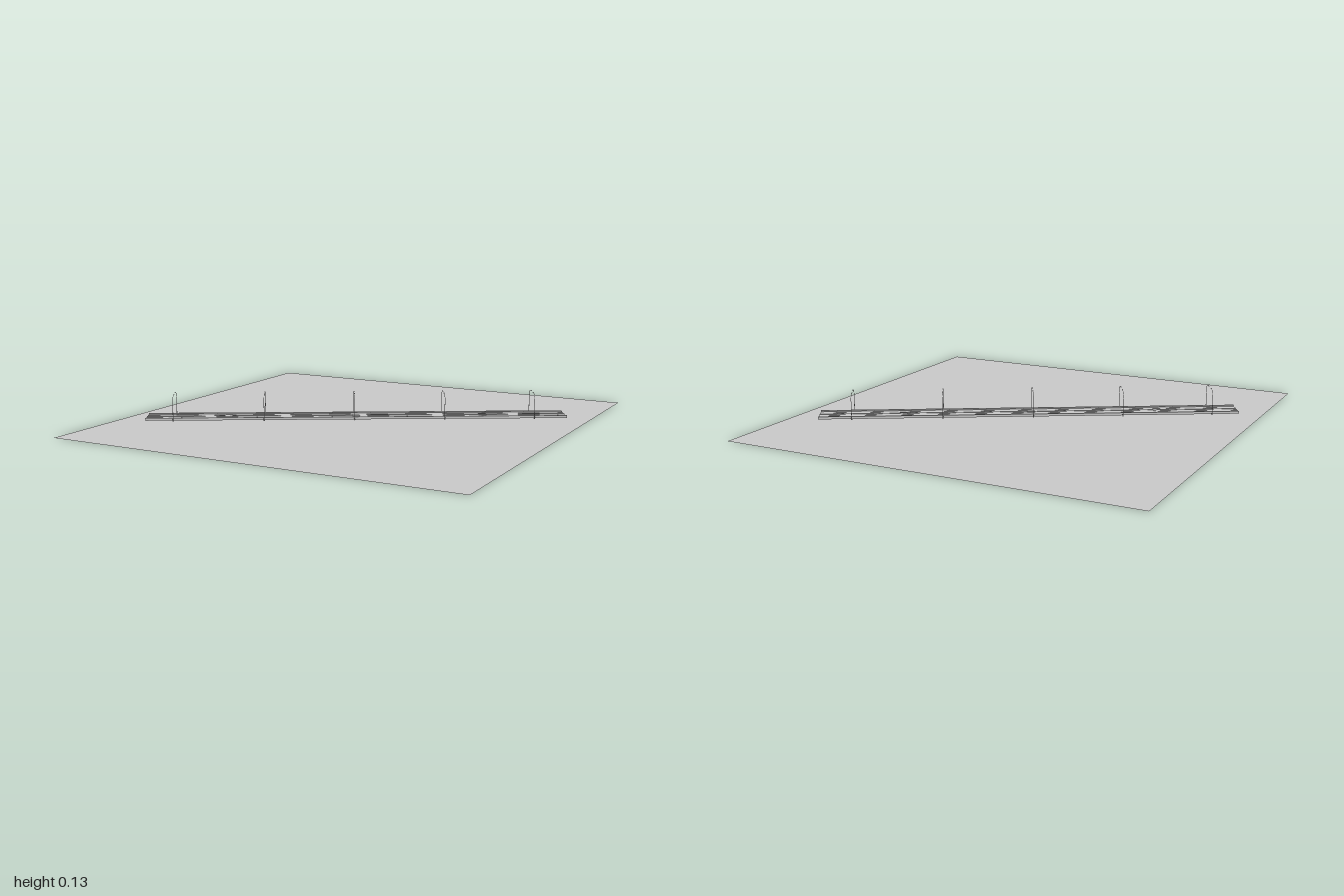
import * as THREE from 'three';

const mat = new THREE.MeshStandardMaterial({ color: 0xcccccc, side: THREE.DoubleSide });

function add(parent, name, geometry, x = 0, y = 0, z = 0) {
  const mesh = new THREE.Mesh(geometry, mat);
  mesh.name = name;
  mesh.position.set(x, y, z);
  parent.add(mesh);
  return mesh;
}
const box = (x, y, z) => new THREE.BoxGeometry(x, y, z);

// Street lamp standing outside the road edge, arm reaching towards -z
function createLamp() {
  const lamp = new THREE.Group();
  lamp.name = 'streetLamp';
  add(lamp, 'lampBase', new THREE.CylinderGeometry(0.002, 0.003, 0.012, 8), 0, 0.016, 0);
  add(lamp, 'lampPole', new THREE.CylinderGeometry(0.0011, 0.0015, 0.106, 8), 0, 0.063, 0);
  const path = new THREE.CatmullRomCurve3([
    new THREE.Vector3(0, 0.114, 0),
    new THREE.Vector3(0, 0.122, -0.012),
    new THREE.Vector3(0, 0.129, -0.03),
    new THREE.Vector3(0, 0.13, -0.046),
  ]);
  add(lamp, 'lampArm', new THREE.TubeGeometry(path, 10, 0.001, 6), 0, 0, 0);
  add(lamp, 'lampHead', box(0.004, 0.002, 0.014), 0, 0.1295, -0.046);
  return lamp;
}

export function createModel() {
  const model = new THREE.Group();
  model.name = 'roadBridge';

  // Flat square ground
  add(model, 'ground', new THREE.PlaneGeometry(2, 2).rotateX(-Math.PI / 2));

  // The road runs diagonally across the ground
  const road = new THREE.Group();
  road.name = 'road';
  road.rotation.y = Math.PI / 6;
  model.add(road);
  const length = 2.01;
  add(road, 'deck', box(length, 0.008, 0.12), 0, 0.015, 0);
  add(road, 'medianStrip', box(length, 0.002, 0.004), 0, 0.02, 0);

  for (const side of [-1, 1]) {
    add(road, 'parapet', box(length, 0.012, 0.004), 0, 0.018, side * 0.06);
    add(road, 'kerb', box(length, 0.003, 0.006), 0, 0.02, side * 0.053);
    for (const z of [0.018, 0.036]) {
      add(road, 'laneStrip', box(length, 0.001, 0.002), 0, 0.0192, side * z);
    }
  }

  // Small raised panels along the centre line
  for (const x of [-0.61, 0, 0.61]) {
    const panel = new THREE.Group();
    panel.name = 'centrePanel';
    panel.position.x = x - 0.005;
    add(panel, 'panelPlate', box(0.036, 0.002, 0.036), 0, 0.0205, 0);
    for (const z of [-0.012, 0, 0.012]) {
      add(panel, 'panelRib', box(0.036, 0.0015, 0.003), 0, 0.022, z);
    }
    road.add(panel);
  }

  // Five facing pairs of lamps
  for (let i = 0; i < 5; i++) {
    for (const side of [-1, 1]) {
      const lamp = createLamp();
      lamp.position.set(-0.872 + i * 0.4295, 0, side * 0.073);
      if (side < 0) lamp.rotation.y = Math.PI;
      road.add(lamp);
    }
  }
  return model;
}
